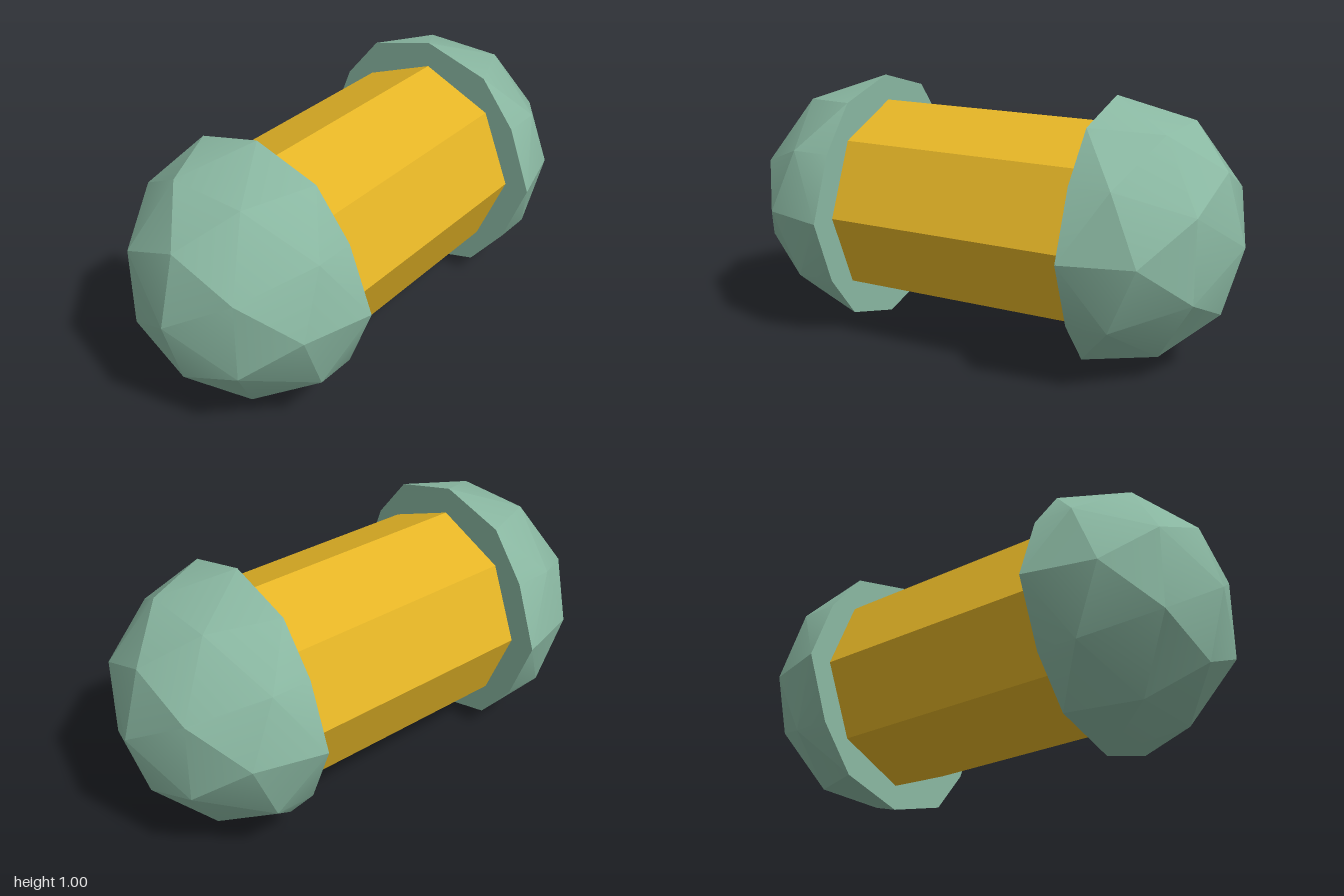
import * as THREE from 'three';
import { toCreasedNormals } from 'three/addons/utils/BufferGeometryUtils.js';
import { ConvexGeometry } from 'three/addons/geometries/ConvexGeometry.js';

const RADIUS = 0.5;

// Half of a once-subdivided icosahedron, closed by a flat disc at x = 0
function halfBall() {
  const ball = new THREE.IcosahedronGeometry(RADIUS, 1).rotateX(Math.PI / 2);
  const pos = ball.attributes.position;
  const points = new Map();
  const add = (...xyz) => {
    const p = xyz.map((n) => Math.round(n * 1e5) / 1e5 + 0);
    points.set(p.join(), new THREE.Vector3(...p));
  };
  for (let i = 0; i < pos.count; i++) {
    if (pos.getX(i) > -1e-4) add(pos.getX(i), pos.getY(i), pos.getZ(i));
  }
  // Corners where the cut crosses an edge
  for (const sy of [-1, 1]) {
    for (const sz of [-1, 1]) add(0, sy * RADIUS * 0.5, sz * RADIUS * 0.80902);
  }
  return toCreasedNormals(new ConvexGeometry([...points.values()]), Math.PI / 9);
}

export function createModel() {
  const model = new THREE.Group();
  model.name = 'capsule';

  // Eight-sided bar between the ends
  const bar = new THREE.Mesh(
    new THREE.CylinderGeometry(0.4, 0.4, 1, 8).rotateZ(Math.PI / 2),
    new THREE.MeshStandardMaterial({ color: 0xe5b526, flatShading: true })
  );
  bar.name = 'bar';
  bar.position.set(0.01, RADIUS, 0);
  model.add(bar);

  // Faceted domes, flat side inward
  const capGeometry = halfBall();
  const capMaterial = new THREE.MeshStandardMaterial({ color: 0x8ab8a2 });
  for (const side of [-1, 1]) {
    const cap = new THREE.Mesh(capGeometry, capMaterial);
    cap.name = side > 0 ? 'leftEndCap' : 'rightEndCap';
    cap.position.set(side * 0.5, RADIUS, 0);
    if (side < 0) cap.rotation.y = Math.PI;
    model.add(cap);
  }
  return model;
}
